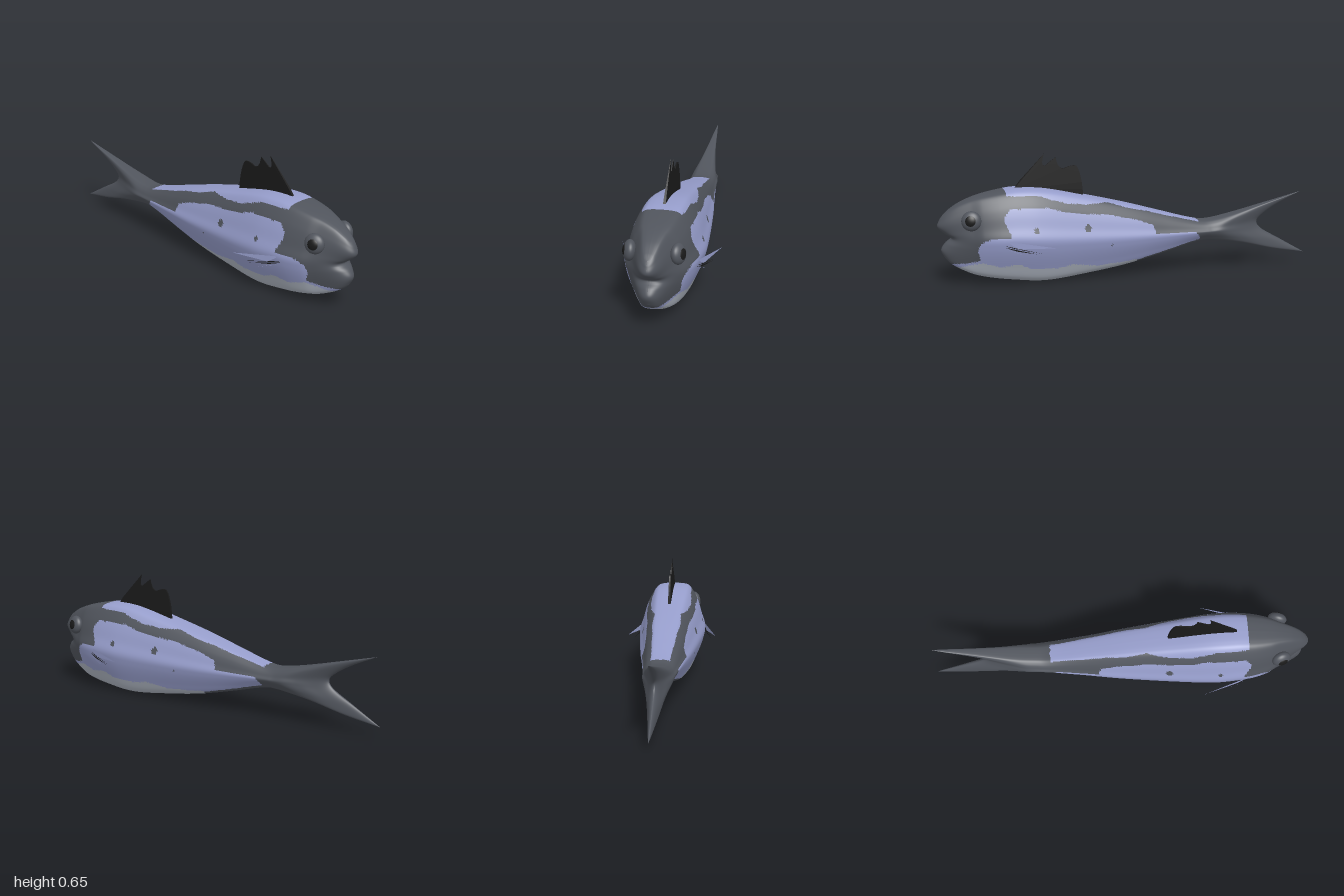
import * as THREE from 'three';

const mat = (name, color) => {
  const m = new THREE.MeshStandardMaterial({ color, side: THREE.DoubleSide });
  m.name = name;
  return m;
};

// Interpolates [position, value] pairs, smoothly (Hermite) or in straight pieces
function table(pts, smooth = true) {
  const p = [...pts].sort((a, b) => a[0] - b[0]);
  const n = p.length - 1;
  const slope = (i) => {
    const a = p[Math.max(i - 1, 0)], b = p[Math.min(i + 1, n)];
    return (b[1] - a[1]) / (b[0] - a[0]);
  };
  return (t) => {
    if (t <= p[0][0]) return p[0][1];
    if (t >= p[n][0]) return p[n][1];
    let i = 0;
    while (t > p[i + 1][0]) i++;
    const h = p[i + 1][0] - p[i][0], u = (t - p[i][0]) / h;
    if (!smooth) return p[i][1] + (p[i + 1][1] - p[i][1]) * u;
    const u2 = u * u, u3 = u2 * u;
    return (2 * u3 - 3 * u2 + 1) * p[i][1] + (u3 - 2 * u2 + u) * h * slope(i)
      + (3 * u2 - 2 * u3) * p[i + 1][1] + (u3 - u2) * h * slope(i + 1);
  };
}

// Body outline: back, belly and half width along the length
const HEAD = 0.7, TAIL = -0.42;
const topY = table([[1, 0.355], [0.97, 0.38], [0.91, 0.415], [0.82, 0.447], [0.7, 0.471], [0.6, 0.483],
  [0.46, 0.475], [0.25, 0.43], [0.03, 0.378], [-0.18, 0.32], [-0.34, 0.276], [-0.42, 0.265],
  [-0.56, 0.287], [-0.78, 0.34], [-1, 0.394]]);
const botY = table([[1, 0.135], [0.97, 0.11], [0.91, 0.078], [0.82, 0.045], [0.62, 0.013], [0.46, 0],
  [0.25, 0.022], [0.03, 0.056], [-0.18, 0.105], [-0.34, 0.147], [-0.42, 0.158],
  [-0.61, 0.131], [-0.82, 0.08], [-1, 0.05]]);
const halfW = table([[1, 0.075], [0.955, 0.083], [0.91, 0.095], [0.85, 0.118], [0.79, 0.148], [0.7, 0.172],
  [0.6, 0.183], [0.5, 0.185], [0.3, 0.168], [0, 0.135], [-0.2, 0.108], [-0.42, 0.083],
  [-0.56, 0.077], [-0.7, 0.058], [-0.85, 0.038], [-1, 0.024]]);
// Mouth line and tail fork, from bottom (0) to top (1)
const mouthZ = table([[0, 0.965], [0.2, 0.985], [0.36, 0.965], [0.48, 0.935], [0.58, 0.965], [0.74, 1], [0.9, 0.99], [1, 0.975]]);
const forkZ = table([[0, -1], [0.25, -0.85], [0.43, -0.743], [0.54, -0.716], [0.63, -0.735], [0.8, -0.825], [1, -0.973]]);

// Colour borders
const backLine = table([[0.66, 0.455], [0.5, 0.452], [0.44, 0.43], [0.36, 0.407], [0.25, 0.394], [0.14, 0.397],
  [0.03, 0.362], [-0.07, 0.34], [-0.18, 0.31], [-0.37, 0.262]], false);
const sideLine = table([[0.68, 0.36], [0.65, 0.394], [0.46, 0.394], [0.36, 0.362], [0.25, 0.35], [0.14, 0.338],
  [-0.02, 0.3], [-0.1, 0.27], [-0.115, 0.225], [-0.34, 0.217], [-0.37, 0.18]], false);
const headLine = table([[0.36, 0.68], [0.33, 0.68], [0.26, 0.65], [0.25, 0.76], [0.228, 0.8], [0.19, 0.815],
  [0.137, 0.8], [0.12, 0.86], [0.11, 0.95], [0.1, 1.1]], false);
const bellyLine = table([[1, 0.11], [0.9, 0.095], [0.79, 0.125], [0.7, 0.1], [0.62, 0.115], [0.54, 0.083],
  [0.41, 0.078], [0.33, 0.094], [0.2, 0.073], [0.03, 0.083], [-0.04, 0.092]], false);
const spots = [[0.525, 0.287, 0.013], [0.257, 0.28, 0.018], [0.13, 0.187, 0.006]];

// 0 = grey, 1 = lavender, 2 = pale belly
function bodyColour(z, y) {
  if (z < -0.37) return 0;
  if (z < 0.66 && y > backLine(z)) return 1;
  if (z > headLine(y) || y > sideLine(z)) return 0;
  if (spots.some(([a, b, r]) => Math.hypot(z - a, y - b) < r)) return 0;
  if (z < -0.02) return y < botY(z) + 0.018 ? 0 : 1;
  return y < bellyLine(z) ? 2 : 1;
}

// Closed skin from tail fork to mouth
function bodyGeometry() {
  const half = new THREE.SplineCurve([[0, 0], [0.24, 0.004], [0.43, 0.017], [0.6, 0.06], [0.76, 0.19], [0.89, 0.31],
    [0.97, 0.41], [1, 0.5], [0.9, 0.62], [0.81, 0.745], [0.7, 0.85], [0.51, 0.963], [0.32, 0.993], [0, 1]]
    .map(([x, y]) => new THREE.Vector2(x, y))).getSpacedPoints(80);
  const ring = [...half, ...half.slice(1, -1).reverse().map((p) => new THREE.Vector2(-p.x, p.y))];
  const stations = [];
  for (let i = 0; i <= 60; i++) stations.push(-1 + (1 + TAIL) * (i / 60) ** 1.6);
  for (let i = 1; i <= 120; i++) stations.push(TAIL + (HEAD - TAIL) * i / 120);
  for (let i = 1; i <= 60; i++) stations.push(1 - (1 - HEAD) * (1 - i / 60) ** 1.6);

  const pos = [], faces = [[], [], []], n = ring.length;
  for (const p of stations) {
    const head = Math.max(0, (p - HEAD) / (1 - HEAD)), tail = Math.max(0, (TAIL - p) / (1 + TAIL));
    const w = halfW(p) * Math.sqrt(Math.max(0, 1 - Math.max(head, tail) ** 6));
    for (const q of ring) {
      const v = THREE.MathUtils.clamp(q.y, 0, 1);
      let z = p;
      if (head > 0) z = HEAD + 0.275 * head + (mouthZ(v) - 0.975) * head ** 3;
      if (tail > 0) z = TAIL + (forkZ(v) - TAIL) * tail;
      pos.push(q.x * w, botY(p) + (topY(p) - botY(p)) * v, z);
    }
  }
  const addFace = (...t) => {
    const mid = (k) => (pos[t[0] * 3 + k] + pos[t[1] * 3 + k] + pos[t[2] * 3 + k]) / 3;
    faces[bodyColour(mid(2), mid(1))].push(...t);
  };
  for (let i = 0; i < stations.length - 1; i++) {
    for (let j = 0; j < n; j++) {
      const k = (j + 1) % n, a = i * n + j, b = i * n + k, c = b + n, d = a + n;
      addFace(a, b, c);
      addFace(a, c, d);
    }
  }
  const g = new THREE.BufferGeometry();
  g.setAttribute('position', new THREE.Float32BufferAttribute(pos, 3));
  g.setIndex(faces.flat());
  let start = 0;
  faces.forEach((f, m) => { g.addGroup(start, f.length, m); start += f.length; });
  g.computeVertexNormals();
  return g;
}

export function createModel() {
  const model = new THREE.Group();
  model.name = 'fish';
  const grey = mat('slate grey', 0x50545c), lavender = mat('lavender', 0x969dcb);
  const pale = mat('pale belly', 0xacb3bf), black = mat('black', 0x1a1a1a);
  const add = (parent, name, geometry, material) => {
    const m = new THREE.Mesh(geometry, material);
    m.name = name;
    parent.add(m);
    return m;
  };

  add(model, 'body', bodyGeometry(), [grey, lavender, pale]);

  // Spiny back fin, tapering to a thin top edge
  const outline = new THREE.Shape();
  outline.moveTo(0.614, 0.47);
  outline.lineTo(0.58, 0.515);
  outline.lineTo(0.452, 0.65);
  outline.quadraticCurveTo(0.475, 0.58, 0.445, 0.59);
  outline.quadraticCurveTo(0.42, 0.61, 0.392, 0.63);
  outline.quadraticCurveTo(0.385, 0.57, 0.35, 0.57);
  outline.quadraticCurveTo(0.31, 0.59, 0.285, 0.582);
  outline.quadraticCurveTo(0.258, 0.55, 0.25, 0.42);
  const fin = new THREE.ExtrudeGeometry(outline, { depth: 0.014, bevelEnabled: false, curveSegments: 6 });
  fin.translate(0, 0, -0.007).rotateY(-Math.PI / 2);
  const fp = fin.attributes.position;
  for (let i = 0; i < fp.count; i++) {
    fp.setX(i, fp.getX(i) * THREE.MathUtils.clamp((0.67 - fp.getY(i)) / 0.19, 0.1, 1));
  }
  fin.computeVertexNormals();
  add(model, 'backFin', fin, black);

  // Thin side fin rays: root top, tip, root bottom as [z, y]
  const rays = [
    ['sideFinLongRay', lavender, [0.68, 0.242], [0.44, 0.21], [0.62, 0.203]],
    ['sideFinMiddleRay', black, [0.7, 0.222], [0.5, 0.18], [0.64, 0.205]],
    ['sideFinLowerRay', black, [0.69, 0.212], [0.53, 0.178], [0.63, 0.192]],
    ['sideFinShortRay', lavender, [0.67, 0.198], [0.575, 0.164], [0.63, 0.185]],
  ];
  for (const side of [1, -1]) {
    const label = side > 0 ? 'left' : 'right';
    // Bulging eye with a dark pupil
    const eye = new THREE.Group();
    eye.name = label + 'Eye';
    eye.position.set(side * 0.113, 0.342, 0.842);
    eye.rotation.set(0, side * -0.3, side * 0.15);
    model.add(eye);
    add(eye, 'eyeball', new THREE.SphereGeometry(1, 32, 24), grey).scale.set(0.03, 0.05, 0.05);
    const pupil = add(eye, 'pupil', new THREE.SphereGeometry(1, 32, 24), black);
    pupil.scale.set(0.018, 0.033, 0.033);
    pupil.position.x = side * 0.0145;

    const sideFin = new THREE.Group();
    sideFin.name = label + 'SideFin';
    model.add(sideFin);
    for (const [name, material, ...corners] of rays) {
      const pts = corners.flatMap(([z, y]) => [side * (0.172 + (0.68 - z) * 0.32), y, z]);
      const g = new THREE.BufferGeometry();
      g.setAttribute('position', new THREE.Float32BufferAttribute(pts, 3));
      g.setIndex(side > 0 ? [0, 1, 2] : [0, 2, 1]);
      g.computeVertexNormals();
      add(sideFin, name, g, material);
    }
  }
  return model;
}
